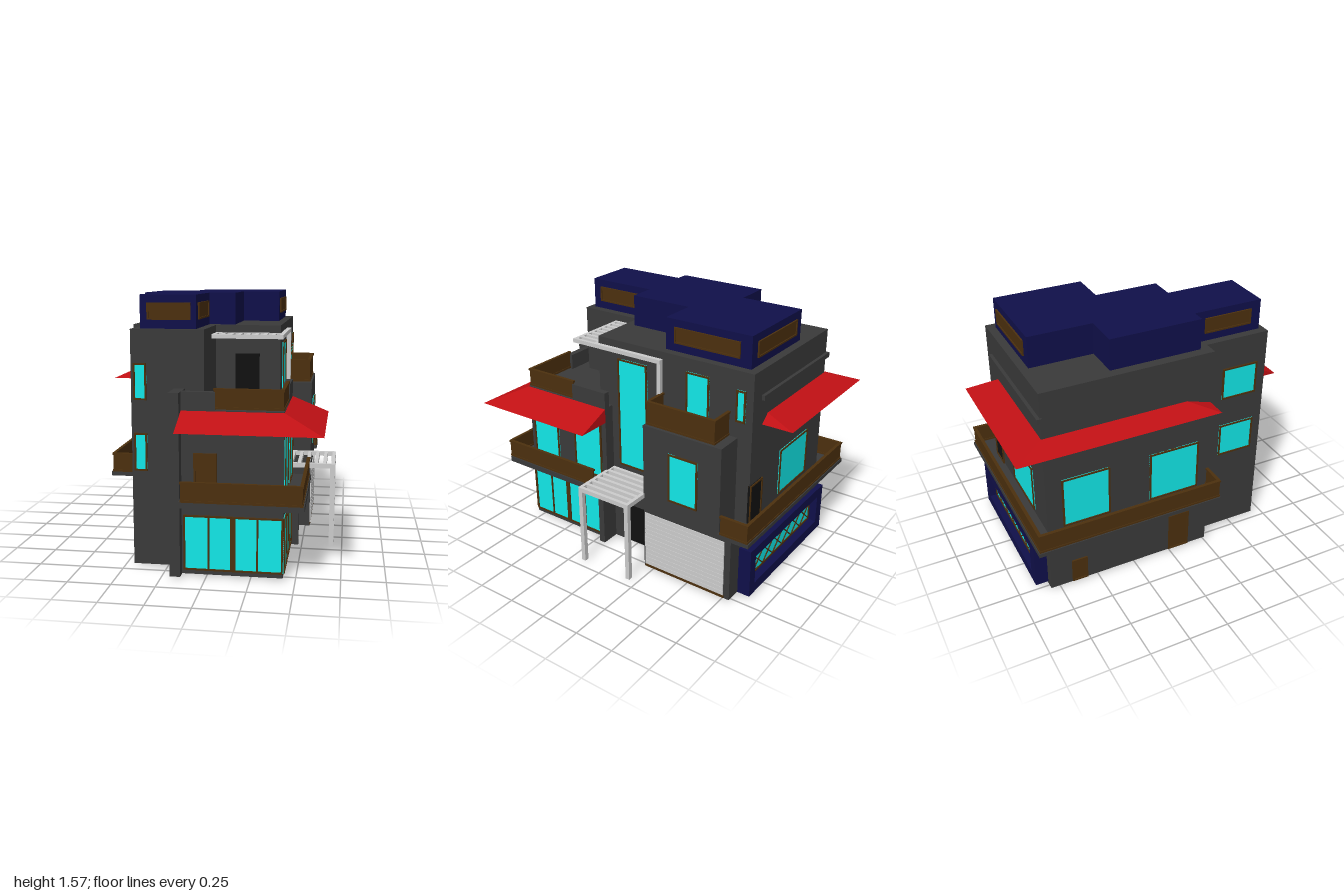
import * as THREE from 'three';

const mat = (color, side = THREE.FrontSide) => new THREE.MeshStandardMaterial({ color, side });
const WALL = mat(0x3a3a3a), GLASS = mat(0x12e8e8), NAVY = mat(0x10104a), BROWN = mat(0x4c300e);
const DARK = mat(0x111111), GREY = mat(0xcccccc), RED = mat(0xc01014, THREE.DoubleSide);

export function createModel() {
  const house = new THREE.Group();
  house.name = 'house';

  const add = (name, geometry, material) => {
    const mesh = new THREE.Mesh(geometry, material);
    mesh.name = name;
    house.add(mesh);
    return mesh;
  };
  // Box given by its limits on each axis
  const box = (name, m, x0, x1, y0, y1, z0, z1) => {
    const mesh = add(name, new THREE.BoxGeometry(x1 - x0, y1 - y0, z1 - z0), m);
    mesh.position.set((x0 + x1) / 2, (y0 + y1) / 2, (z0 + z1) / 2);
    return mesh;
  };
  // Thin panel on a wall: side is '+x', '-x', '+z' or '-z'; a runs along the wall
  const panel = (name, m, side, plane, a0, a1, y0, y1, out = 0.004) => {
    const s = side[0] === '+' ? 1 : -1;
    const p0 = Math.min(plane - s * 0.01, plane + s * out), p1 = Math.max(plane - s * 0.01, plane + s * out);
    return side[1] === 'x' ? box(name, m, p0, p1, y0, y1, a0, a1) : box(name, m, a0, a1, y0, y1, p0, p1);
  };
  // Panel with a brown frame and evenly spaced mullions
  const framed = (name, m, side, plane, a0, a1, y0, y1, panes = 1) => {
    const f = 0.01, o = 0.01;
    panel(name, m, side, plane, a0, a1, y0, y1);
    panel(name + 'Sill', BROWN, side, plane, a0, a1, y0, y0 + f, o);
    panel(name + 'Head', BROWN, side, plane, a0, a1, y1 - f, y1, o);
    for (let i = 0; i <= panes; i++) {
      const c = a0 + f / 2 + (a1 - a0 - f) * i / panes;
      const w = panes === 4 && i === 2 ? 0.015 : f / 2;
      panel(name + 'Mullion', BROWN, side, plane, c - w, c + w, y0, y1, o);
    }
  };
  // Railing along a plan path of [x, z] points
  const railing = (name, path, y0, y1) => {
    for (let i = 1; i < path.length; i++) {
      const [ax, az] = path[i - 1], [bx, bz] = path[i];
      const bar = (n, t, lo, hi) => box(name + n, BROWN, Math.min(ax, bx) - t, Math.max(ax, bx) + t,
        lo, hi, Math.min(az, bz) - t, Math.max(az, bz) + t);
      bar('Panel', 0.005, y0, y1 - 0.01);
      bar('TopRail', 0.01, y1 - 0.012, y1);
      bar('BottomRail', 0.009, y0, y0 + 0.012);
    }
  };
  // Sloped roof skirt between an outer and an inner plan path, with a flat soffit
  const eave = (name, outer, inner, low, high) => {
    const pos = [];
    const quad = (a, b, c, d) => pos.push(...a, ...b, ...c, ...a, ...c, ...d);
    const at = ([x, z], y) => [x, y, z];
    for (let i = 1; i < outer.length; i++) {
      const a = outer[i - 1], b = outer[i], c = inner[i], d = inner[i - 1];
      quad(at(a, low), at(b, low), at(c, high), at(d, high));
      quad(at(d, low), at(c, low), at(b, low), at(a, low));
    }
    for (const i of [0, outer.length - 1]) pos.push(...at(outer[i], low), ...at(inner[i], high), ...at(inner[i], low));
    const g = new THREE.BufferGeometry();
    g.setAttribute('position', new THREE.Float32BufferAttribute(pos, 3));
    g.computeVertexNormals();
    add(name, g, RED);
  };

  // Main masses
  box('mainBody', WALL, -0.54, 0.36, 0.01, 1.38, -0.81, 0.26);
  box('frontTower', WALL, -0.45, -0.03, 0.01, 1.38, 0.2, 0.68);
  box('frontBlock', WALL, -0.17, 0.43, 0.01, 0.95, 0.17, 0.8);
  box('frontPier', WALL, -0.2, -0.14, 0.01, 1.05, 0.6, 0.86);
  box('garageBlock', WALL, 0.3, 0.53, 0.01, 0.45, -0.8, -0.19);
  box('sideWing', WALL, 0.3, 0.53, 0.45, 0.98, -0.72, -0.19);
  box('entranceFin', WALL, 0.36, 0.48, 0.01, 0.44, 0.17, 0.21);
  box('backLedge', WALL, -0.55, 0.27, 1.2, 1.23, -0.83, -0.8);

  // Terrace parapets and railing
  box('terraceParapetFront', WALL, -0.17, 0.05, 0.94, 1.05, 0.76, 0.8);
  box('terraceParapetSide', WALL, 0.39, 0.43, 0.94, 1.05, 0.17, 0.43);
  railing('terraceRailing', [[0.05, 0.785], [0.42, 0.785], [0.42, 0.43]], 0.955, 1.07);
  panel('terraceDoor', DARK, '+z', 0.26, 0.09, 0.235, 0.95, 1.21);

  // Rooftop volume with inset panels
  const plan = [[-0.26, -0.76], [0.31, -0.76], [0.31, -0.2], [0.08, -0.2], [0.08, 0.2], [-0.08, 0.2],
    [-0.08, 0.645], [-0.4, 0.645], [-0.4, 0.2], [-0.48, 0.2], [-0.48, -0.37], [-0.26, -0.37]];
  const roofShape = new THREE.Shape(plan.map(([x, z]) => new THREE.Vector2(x, -z)));
  const roof = add('rooftopVolume', new THREE.ExtrudeGeometry(roofShape, { depth: 0.19, bevelEnabled: false }), NAVY);
  roof.rotation.x = -Math.PI / 2;
  roof.position.y = 1.38;
  for (const [side, plane, a0, a1] of [['+z', 0.645, -0.36, -0.11], ['+x', -0.08, 0.26, 0.59], ['-x', -0.4, 0.27, 0.58],
    ['+x', 0.31, -0.69, -0.26], ['-z', -0.76, -0.2, 0.25]]) framed('rooftopWindow', BROWN, side, plane, a0, a1, 1.43, 1.525);

  // Red roof skirts
  eave('frontEave', [[-0.14, 1], [0.65, 1], [0.65, 0.17]], [[-0.14, 0.8], [0.43, 0.8], [0.43, 0.17]], 0.855, 0.945);
  eave('backEave', [[0.25, -0.81], [0.25, -1], [-0.67, -1], [-0.67, 0.25], [-0.54, 0.25]],
    [[0.19, -0.81], [0.19, -0.81], [-0.54, -0.81], [-0.54, 0.09], [-0.54, 0.09]], 1.045, 1.095);

  // Balcony slabs and railings
  box('frontBalconySlab', WALL, -0.14, 0.55, 0.42, 0.455, 0.17, 0.9);
  railing('frontBalconyRailing', [[-0.12, 0.9], [0.535, 0.9], [0.535, 0.2]], 0.455, 0.57);
  box('backBalconySlab', WALL, -0.7, 0.55, 0.425, 0.45, -0.92, -0.72);
  box('leftBalconySlab', WALL, -0.7, -0.5, 0.425, 0.45, -0.72, 0.26);
  railing('backBalconyRailing', [[0.54, -0.74], [0.54, -0.905], [-0.685, -0.905], [-0.685, 0.25], [-0.55, 0.25]], 0.45, 0.57);
  railing('wingBalconyRailing', [[0.37, -0.215], [0.51, -0.215], [0.51, -0.66], [0.37, -0.66]], 0.985, 1.13);

  // Ground floor glazing, garage and entrance
  framed('frontGlazing', GLASS, '+z', 0.8, -0.13, 0.43, 0.035, 0.355, 4);
  framed('sideGlazing', GLASS, '+x', 0.43, 0.215, 0.795, 0.035, 0.355, 4);
  panel('entranceDoor', DARK, '+x', 0.36, -0.06, 0.08, 0.015, 0.28);
  panel('garageThreshold', BROWN, '+x', 0.53, -0.765, -0.2, 0.012, 0.03);
  for (let i = 0; i < 13; i++) {
    const y = 0.032 + i * 0.0285;
    panel('garageSlat', GREY, '+x', 0.53, -0.76, -0.2, y, y + 0.026, 0.006);
  }
  panel('garageShutter', GREY, '+x', 0.53, -0.76, -0.2, 0.03, 0.4, 0.002);

  // Upper windows and doors
  const openings = [
    ['towerWindow', '+z', 0.68, -0.435, -0.36, 0.57, 0.79], ['towerWindow', '+z', 0.68, -0.435, -0.36, 0.98, 1.19],
    ['towerSideWindow', '-x', -0.45, 0.38, 0.62, 0.57, 0.79], ['towerSideWindow', '-x', -0.45, 0.38, 0.62, 0.98, 1.19],
    ['balconyWindow', '+x', 0.43, 0.56, 0.77, 0.46, 0.87], ['balconyWindow', '+x', 0.43, 0.205, 0.425, 0.46, 0.87],
    ['stairWindow', '+x', 0.36, -0.1, 0.115, 0.56, 1.27], ['wingWindow', '+x', 0.53, -0.57, -0.37, 0.54, 0.85],
    ['wingBalconyDoor', '+x', 0.36, -0.53, -0.375, 0.98, 1.3], ['narrowWindow', '+x', 0.36, -0.765, -0.705, 1.08, 1.27],
    ['backWindow', '-z', -0.81, -0.35, 0.01, 0.48, 0.78],
    ['leftWindow', '-x', -0.54, -0.71, -0.41, 0.46, 0.79], ['leftWindow', '-x', -0.54, -0.15, 0.18, 0.46, 0.79],
  ];
  for (const [name, ...o] of openings) framed(name, GLASS, ...o);
  framed('balconyDoor', BROWN, '+z', 0.8, -0.07, 0.06, 0.455, 0.71);
  framed('backDoor', DARK, '-z', -0.81, 0.22, 0.36, 0.45, 0.7);
  framed('leftDoor', BROWN, '-x', -0.54, -0.01, 0.13, 0.015, 0.28);
  framed('leftHatch', BROWN, '-x', -0.54, -0.67, -0.57, 0.015, 0.175);

  // Back bay with a lattice strip window
  const rect = (T, x0, x1, y0, y1) => new T([[x0, y0], [x1, y0], [x1, y1], [x0, y1]].map(p => new THREE.Vector2(...p)));
  const bay = rect(THREE.Shape, -0.49, 0.45, 0.025, 0.335);
  bay.holes.push(rect(THREE.Path, -0.42, 0.39, 0.09, 0.275));
  add('bayFrame', new THREE.ExtrudeGeometry(bay, { depth: 0.08, bevelEnabled: false }), NAVY).position.z = -0.89;
  box('bayBack', NAVY, -0.43, 0.4, 0.08, 0.285, -0.84, -0.805);
  framed('bayWindow', GLASS, '-z', -0.845, -0.39, 0.36, 0.115, 0.25);
  const pitch = 0.73 / 6;
  for (let i = 0; i < 6; i++) for (const s of [-1, 1]) {
    const bar = add('bayLattice', new THREE.BoxGeometry(Math.hypot(pitch, 0.115), 0.006, 0.006), BROWN);
    bar.position.set(-0.38 + (i + 0.5) * pitch, 0.1825, -0.853);
    bar.rotation.z = s * Math.atan2(0.115, pitch);
  }

  // Slatted pergolas
  const pergola = (name, x0, x1, z0, z1, y0, y1, gaps) => {
    const w = 0.022;
    box(name + 'Beam', GREY, x0, x1, y0, y1, z0, z0 + w);
    box(name + 'Beam', GREY, x0, x1, y0, y1, z1 - w, z1);
    for (let i = 0; i <= gaps; i++) {
      const x = x0 + (x1 - x0 - w) * i / gaps;
      box(name + 'Slat', GREY, x, x + w, y0, y1, z0 + w, z1 - w);
    }
  };
  pergola('entrancePergola', 0.36, 0.697, -0.195, 0.18, 0.498, 0.526, 6);
  for (const z of [-0.195, 0.152]) box('entrancePost', GREY, 0.668, 0.697, 0, 0.5, z, z + 0.028);
  pergola('terracePergola', -0.03, 0.39, 0.26, 0.435, 1.312, 1.336, 8);
  box('sideBeam', GREY, 0.362, 0.39, 1.312, 1.336, -0.21, 0.26);
  box('sidePost', GREY, 0.362, 0.39, 0.98, 1.336, -0.212, -0.188);

  return house;
}
